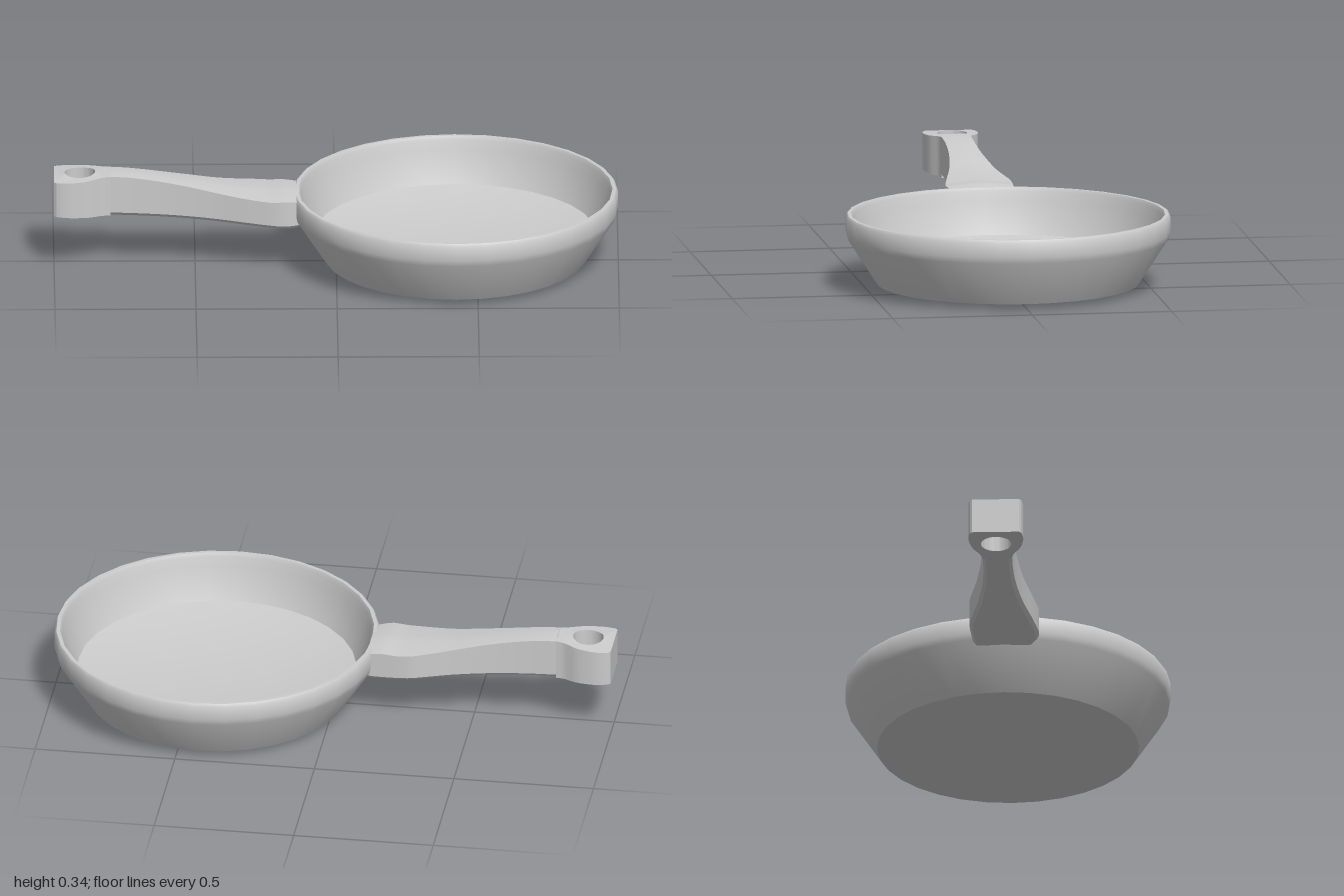
import * as THREE from 'three';
import { toCreasedNormals } from 'three/addons/utils/BufferGeometryUtils.js';

const CREASE = 0.68;
const v2 = (p) => new THREE.Vector2(p[0], p[1]);
const smooth = (points) => new THREE.SplineCurve(points.map(v2)).getPoints(48);

// Height or width at x along a list of points
function lookup(line, x) {
  for (let i = 1; i < line.length; i++) {
    const a = line[i - 1], b = line[i];
    if (x <= b.x) return a.y + (b.y - a.y) * Math.max(0, (x - a.x) / (b.x - a.x));
  }
  return line[line.length - 1].y;
}

// Handle lines: top, bottom, and the half widths to the front and back
const top = smooth([[-1, 0.334], [-0.9, 0.337], [-0.8, 0.34], [-0.7, 0.333], [-0.55, 0.312],
  [-0.4, 0.288], [-0.25, 0.275], [-0.19, 0.277], [-0.13, 0.27]]);
const bottom = smooth([[-1, 0.2], [-0.8, 0.191], [-0.5, 0.18], [-0.2, 0.164], [-0.13, 0.163]]);
const frontSide = smooth([[-0.8, 0.053], [-0.7, 0.053], [-0.58, 0.06], [-0.44, 0.08],
  [-0.3, 0.112], [-0.2, 0.13], [-0.15, 0.12], [-0.13, 0.11]]);
const backSide = smooth([[-0.8, 0.053], [-0.7, 0.052], [-0.58, 0.059], [-0.44, 0.079],
  [-0.34, 0.102], [-0.27, 0.115], [-0.16, 0.108], [-0.13, 0.105]]);
const crown = 0.02;
const topAt = (x, z) => lookup(top, x) - 0.1 * Math.max(0, Math.abs(z) - crown);

// Neck of the handle, lofted from eight-cornered cross-sections
function neckGeometry() {
  const positions = [], index = [], steps = 32, n = 8, bevel = 0.012;
  for (let i = 0; i <= steps; i++) {
    const x = -0.8 + 0.67 * i / steps;
    const f = lookup(frontSide, x), k = -lookup(backSide, x), b = lookup(bottom, x);
    const section = [
      [f - bevel, b], [f, b + bevel], [f, topAt(x, f)], [crown, topAt(x, 0)],
      [-crown, topAt(x, 0)], [k, topAt(x, k)], [k, b + bevel], [k + bevel, b],
    ];
    for (const [z, y] of section) positions.push(x, y, z);
    if (i === steps) break;
    for (let j = 0; j < n; j++) {
      const a = i * n + j, up = i * n + (j + 1) % n;
      index.push(a, a + n, up + n, a, up + n, up);
    }
  }
  const geo = new THREE.BufferGeometry();
  geo.setAttribute('position', new THREE.Float32BufferAttribute(positions, 3));
  geo.setIndex(index);
  return geo;
}

// Rounded handle end with a hanging hole
function endGeometry() {
  const side = smooth([[-1, 0.083], [-0.985, 0.093], [-0.94, 0.097], [-0.88, 0.085],
    [-0.83, 0.06], [-0.8, 0.053]]);
  const mirrored = side.map((p) => new THREE.Vector2(p.x, -p.y));
  const outline = new THREE.Shape([...mirrored, ...side.reverse()]);
  const hole = new THREE.Path();
  hole.absarc(-0.908, 0, 0.054, 0, Math.PI * 2, true);
  outline.holes.push(hole);
  const geo = new THREE.ExtrudeGeometry(outline, {
    depth: 1, bevelEnabled: false, curveSegments: 24,
  });
  geo.rotateX(-Math.PI / 2);
  const pos = geo.attributes.position;
  for (let i = 0; i < pos.count; i++) {
    const x = pos.getX(i);
    pos.setY(i, pos.getY(i) > 0.5 ? topAt(x, pos.getZ(i)) : lookup(bottom, x));
  }
  return geo;
}

export function createModel() {
  const model = new THREE.Group();
  model.name = 'fryingPan';
  const metal = new THREE.MeshStandardMaterial({ color: 0xcccccc });
  metal.name = 'light grey metal';

  const add = (name, geometry) => {
    const mesh = new THREE.Mesh(toCreasedNormals(geometry, CREASE), metal);
    mesh.name = name;
    model.add(mesh);
    return mesh;
  };

  // Bowl: underside, flared wall, rim, inner wall and gently dished floor
  const profile = [
    [0, 0], [0.31, 0], [0.465, 0.02], [0.571, 0.183], [0.577, 0.205],
    [0.577, 0.258], [0.57, 0.268], [0.557, 0.268], [0.55, 0.255], [0.546, 0.22],
    [0.495, 0.107], [0.38, 0.086], [0.2, 0.07], [0, 0.065],
  ].map(v2);
  add('bowl', new THREE.LatheGeometry(profile, 32)).position.x = 0.423;

  add('handleNeck', neckGeometry());
  add('handleEnd', endGeometry());
  return model;
}
